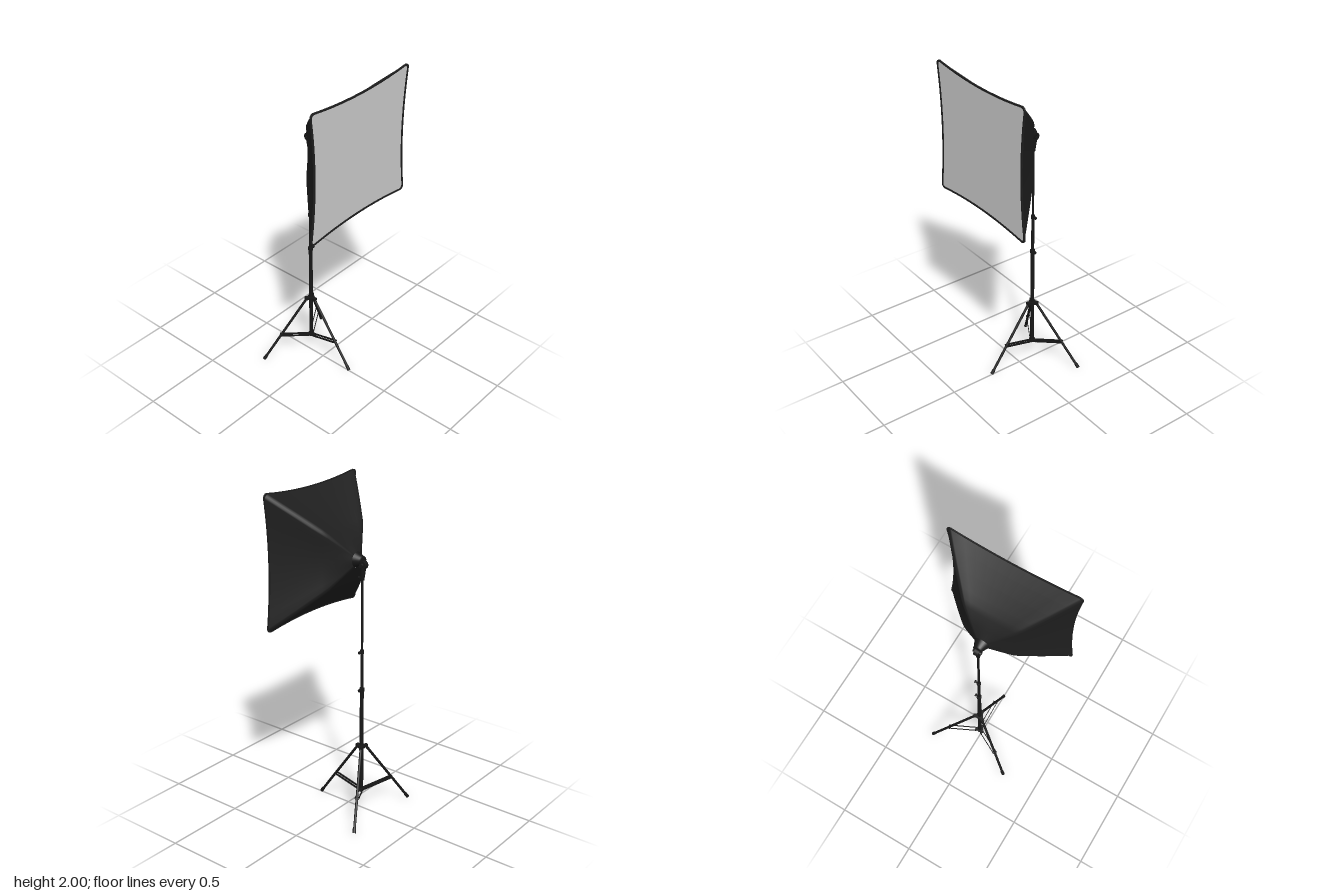
import * as THREE from 'three';

const AXIS_Z = -0.1;   // stand column
const BOX_Y = 1.595;   // softbox centre height

export function createModel() {
  const model = new THREE.Group();
  model.name = 'softboxLight';
  const paint = (name, color) => {
    const m = new THREE.MeshStandardMaterial({ color });
    m.name = name;
    return m;
  };
  const fabric = paint('blackFabric', 0x1e1e1e);
  const metal = paint('blackMetal', 0x171717);
  const white = paint('diffuserWhite', 0xcbcbcb);

  const add = (parent, name, geometry, material, x = 0, y = 0, z = 0) => {
    const mesh = new THREE.Mesh(geometry, material);
    mesh.name = name;
    mesh.position.set(x, y, z);
    parent.add(mesh);
    return mesh;
  };
  // Round bar between two points
  const bar = (parent, name, a, b, r, r2 = r, sides = 14) => {
    const from = new THREE.Vector3(...a), to = new THREE.Vector3(...b);
    const dir = to.clone().sub(from);
    const mesh = add(parent, name, new THREE.CylinderGeometry(r2, r, dir.length(), sides), metal);
    mesh.position.copy(from).add(to).multiplyScalar(0.5);
    mesh.quaternion.setFromUnitVectors(new THREE.Vector3(0, 1, 0), dir.normalize());
    return mesh;
  };

  // Square outline with bowed-in sides and rounded corners, blended towards a circle
  const outline = (half, sag, r, round = 0) => {
    const points = [];
    for (let k = 0; k < 4; k++) {
      const side = [];
      for (let i = 0; i <= 10; i++) {
        const s = i / 5 - 1;
        side.push([half - sag * (1 - s * s), s * (half - r)]);
      }
      for (let i = 1; i < 4; i++) {
        const a = i * Math.PI / 8;
        side.push([half - r + r * Math.cos(a), half - r + r * Math.sin(a)]);
      }
      for (const [x, y] of side) {
        const p = new THREE.Vector2(x, y);
        p.lerp(p.clone().setLength(half), round);
        points.push(p.rotateAround(new THREE.Vector2(), k * Math.PI / 2));
      }
    }
    return points;
  };

  // Softbox shell: rings from the wide front to the round neck
  const softbox = new THREE.Group();
  softbox.name = 'softbox';
  softbox.position.y = BOX_Y;
  model.add(softbox);
  const rings = [ // z, half width, roundness
    [0.27, 0.405, 0], [0.21, 0.35, 0], [0.145, 0.289, 0], [0.08, 0.226, 0],
    [0.045, 0.191, 0], [0.02, 0.163, 0.03], [-0.02, 0.105, 0.2], [-0.06, 0.045, 1],
  ];
  const positions = [], indices = [];
  let count = 0;
  rings.forEach(([z, half, round], i) => {
    const ring = outline(half, half * 0.067, Math.min(0.025, half * 0.12), round);
    count = ring.length;
    ring.forEach((p) => positions.push(p.x, p.y, z));
    if (i === 0) return;
    for (let j = 0; j < count; j++) {
      const a = (i - 1) * count + j, b = (i - 1) * count + (j + 1) % count;
      indices.push(a, a + count, b, b, a + count, b + count);
    }
  });
  const shell = new THREE.BufferGeometry();
  shell.setAttribute('position', new THREE.Float32BufferAttribute(positions, 3));
  shell.setIndex(indices);
  shell.computeVertexNormals();
  add(softbox, 'fabricShell', shell, fabric);

  // Front hem and diffuser cloth
  const hem = new THREE.Shape(outline(0.405, 0.027, 0.025));
  const inner = outline(0.395, 0.027, 0.02);
  hem.holes.push(new THREE.Path(inner));
  add(softbox, 'frontHem',
    new THREE.ExtrudeGeometry(hem, { depth: 0.008, bevelEnabled: false }), fabric, 0, 0, 0.263);
  add(softbox, 'diffuser', new THREE.ShapeGeometry(new THREE.Shape(inner)), white, 0, 0, 0.266);

  // Lamp neck behind the softbox
  const neckProfile = [[0, 0], [0.026, 0], [0.028, 0.004], [0.028, 0.01], [0.045, 0.046], [0.045, 0.05], [0, 0.05]]
    .map(([r, y]) => new THREE.Vector2(r, y));
  const neck = add(softbox, 'lampNeck', new THREE.LatheGeometry(neckProfile, 28), metal, 0, 0, -0.107);
  neck.rotation.x = Math.PI / 2;

  // Tilt joint and its lock
  const head = new THREE.Group();
  head.name = 'tiltHead';
  model.add(head);
  bar(head, 'tiltJoint', [-0.014, 1.572, -0.106], [0.014, 1.572, -0.106], 0.025, 0.025, 24);
  for (const s of [-1, 1])
    bar(head, 'tiltBolt', [s * 0.012, 1.572, -0.106], [s * 0.026, 1.572, -0.106], 0.013, 0.011);
  bar(head, 'headSocket', [0, 1.48, AXIS_Z], [0, 1.565, -0.105], 0.011, 0.019);
  bar(head, 'socketKnobStem', [0, 1.492, AXIS_Z], [0, 1.492, -0.08], 0.004);
  bar(head, 'socketKnob', [0, 1.492, -0.082], [0, 1.492, -0.074], 0.009);

  // Telescopic column
  const stand = new THREE.Group();
  stand.name = 'stand';
  stand.position.z = AXIS_Z;
  model.add(stand);
  bar(stand, 'lowerTube', [0, 0.125, 0], [0, 0.8, 0], 0.012);
  bar(stand, 'middleTube', [0, 0.79, 0], [0, 1.04, 0], 0.0095);
  bar(stand, 'upperTube', [0, 1.03, 0], [0, 1.49, 0], 0.007);
  for (const [y, r] of [[0.8, 0.0155], [1.042, 0.013]]) {
    bar(stand, 'collar', [0, y - 0.01, 0], [0, y + 0.01, 0], r);
    bar(stand, 'collarScrew', [0, y, 0], [0.022, y, 0], 0.004);
    bar(stand, 'collarKnob', [0.02, y, 0], [0.028, y, 0], 0.009);
  }
  bar(stand, 'upperHub', [0, 0.415, 0], [0, 0.433, 0], 0.022);
  bar(stand, 'lowerHub', [0, 0.125, 0], [0, 0.14, 0], 0.02);

  // Three legs with paired struts, each modelled along +z
  for (let i = 0; i < 3; i++) {
    const leg = new THREE.Group();
    leg.name = 'leg' + (i + 1);
    leg.rotation.y = i * Math.PI * 2 / 3;
    stand.add(leg);
    bar(leg, 'legTube', [0, 0.425, 0.026], [0, 0.014, 0.312], 0.008);
    bar(leg, 'foot', [0, 0.03, 0.301], [0, 0.008, 0.3165], 0.0105);
    add(leg, 'upperHinge', new THREE.BoxGeometry(0.022, 0.018, 0.026), metal, 0, 0.424, 0.026);
    add(leg, 'lowerHinge', new THREE.BoxGeometry(0.022, 0.012, 0.018), metal, 0, 0.132, 0.022);
    bar(leg, 'strutPin', [-0.014, 0.176, 0.2], [0.014, 0.176, 0.2], 0.005);
    for (const s of [-1, 1]) {
      const strut = add(leg, 'strut', new THREE.BoxGeometry(0.003, 0.013, 0.183), metal, s * 0.0105, 0.154, 0.111);
      strut.rotation.x = -Math.atan2(0.043, 0.178);
    }
  }
  return model;
}
